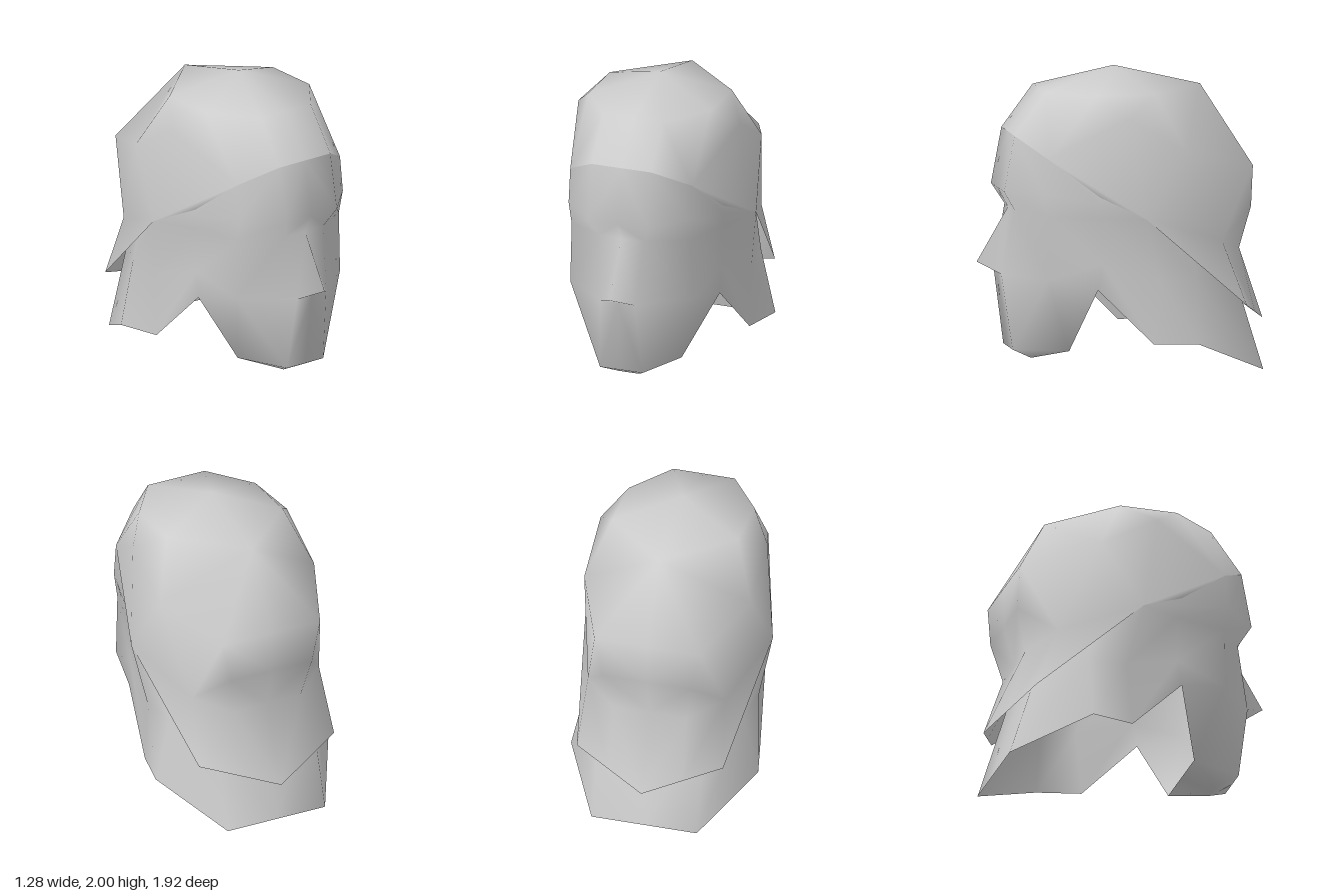
import * as THREE from 'three';
import { mergeVertices } from 'three/addons/utils/BufferGeometryUtils.js';

const plainGrey = new THREE.MeshStandardMaterial({ color: 0xcccccc, side: THREE.DoubleSide });

// Skins patches of cross-sections (rows run downward, points run front to back
// on the +x side; repeated points make triangles), mirrors them across x = 0
// and smooths the shared corners.
function skin(name, patches) {
  const pos = [];
  const tri = (a, b, c) => {
    const [A, B, C] = [a, b, c].map((p) => new THREE.Vector3(...p));
    if (B.clone().sub(A).cross(C.clone().sub(A)).length() < 1e-6) return;
    pos.push(...a, ...b, ...c);
    for (const p of [a, c, b]) pos.push(p[0] === 0 ? 0 : -p[0], p[1], p[2]);
  };
  for (const rows of patches) {
    for (let r = 0; r < rows.length - 1; r++) {
      for (let c = 0; c < rows[r].length - 1; c++) {
        tri(rows[r][c], rows[r + 1][c], rows[r + 1][c + 1]);
        tri(rows[r][c], rows[r + 1][c + 1], rows[r][c + 1]);
      }
    }
  }
  let geo = new THREE.BufferGeometry();
  geo.setAttribute('position', new THREE.Float32BufferAttribute(pos, 3));
  geo = mergeVertices(geo);
  geo.computeVertexNormals();
  const mesh = new THREE.Mesh(geo, plainGrey);
  mesh.name = name;
  return mesh;
}

export function createModel() {
  const model = new THREE.Group();
  model.name = 'head';

  // Skull cap: crown, upper ring, then hairline in front and bulge behind
  const temple = [0.64, 1.06, -0.05];
  const hairline = [[0, 1.58, 0.75], [0.21, 1.58, 0.75], [0.43, 1.45, 0.57], [0.52, 1.2, 0.24], temple];
  const crown = Array(7).fill([0, 2, 0.04]);
  const back = [0, 1.86, -0.54];
  const upper = [[0, 1.86, 0.54], [0.21, 1.86, 0.54], [0.43, 1.86, 0.24], [0.43, 1.86, -0.15], back, back, back];
  const side = [0.57, 1.72, 0.06], backSide = [0.57, 1.5, -0.33];
  const corner = [0.36, 1.36, -0.82], centre = [0, 1.36, -0.82];
  const napeSide = [0.47, 0.88, -0.59];
  const lowCorner = [0.3, 1.08, -0.82], lowCentre = [0, 1.08, -0.82];
  model.add(skin('skullCap', [
    [crown, upper, [...hairline.slice(0, 3), side, backSide, corner, centre]],
    [[hairline[2], side, backSide], [hairline[3], temple, temple]],
    [
      [backSide, backSide, corner, corner, centre],
      [temple, napeSide, napeSide, lowCorner, lowCentre],
    ],
    // Flared flap
    [
      [temple, napeSide, lowCorner, lowCentre],
      [temple, napeSide, [0.25, 0.8, -0.75], [0, 0.8, -0.75]],
      [temple, [0.5, 0.45, -0.75], [0.25, 0.37, -0.855], [0, 0.29, -0.96]],
    ],
  ]));

  // Face: forehead, brow, cheeks, wedge nose, chin and chin underside
  const eyes = [[0, 1.08, 0.75], [0.16, 1.08, 0.74], [0.42, 1.06, 0.57], [0.51, 1.06, 0.22], temple];
  const noseTip = [0, 0.72, 0.96], noseBase = [0, 0.65, 0.82], nostril = [0.12, 0.65, 0.82];
  const midFace = [0.43, 0.65, 0.57], cheek = [0.5, 0.75, 0.22];
  const notch = [0.5, 0.58, 0.25];
  const jaw = [0.29, 0.15, 0.4];
  const chin = [0, 0.15, 0.75], chinSide = [0.15, 0.15, 0.75];
  model.add(skin('faceAndNeckGuard', [
    [hairline, [[0, 1.21, 0.82], [0.21, 1.21, 0.82], [0.43, 1.22, 0.6], [0.52, 1.15, 0.24], temple], eyes],
    [eyes.slice(0, 4), [noseTip, nostril, midFace, cheek]],
    [[noseTip, nostril], [noseBase, nostril]],
    [[noseBase, nostril, midFace, midFace, cheek], [chin, chinSide, chinSide, jaw, notch]],
    [[chin, chinSide, jaw], [[0, 0.08, 0.61], [0.07, 0.08, 0.61], jaw], [[0, 0.15, 0.4], jaw, jaw]],
    // Neck guard hanging below the flap
    [
      [eyes[3], temple, [0.5, 0.95, -0.36], [0.34, 0.92, -0.58], [0, 0.92, -0.58]],
      [cheek, [0.57, 0.65, -0.15], [0.54, 0.65, -0.4], [0.36, 0.65, -0.69], [0, 0.65, -0.69]],
      [notch, [0.57, 0.22, -0.11], [0.64, 0.22, -0.4], [0.36, 0, -0.89], [0, 0, -0.89]],
    ],
  ]));

  return model;
}
